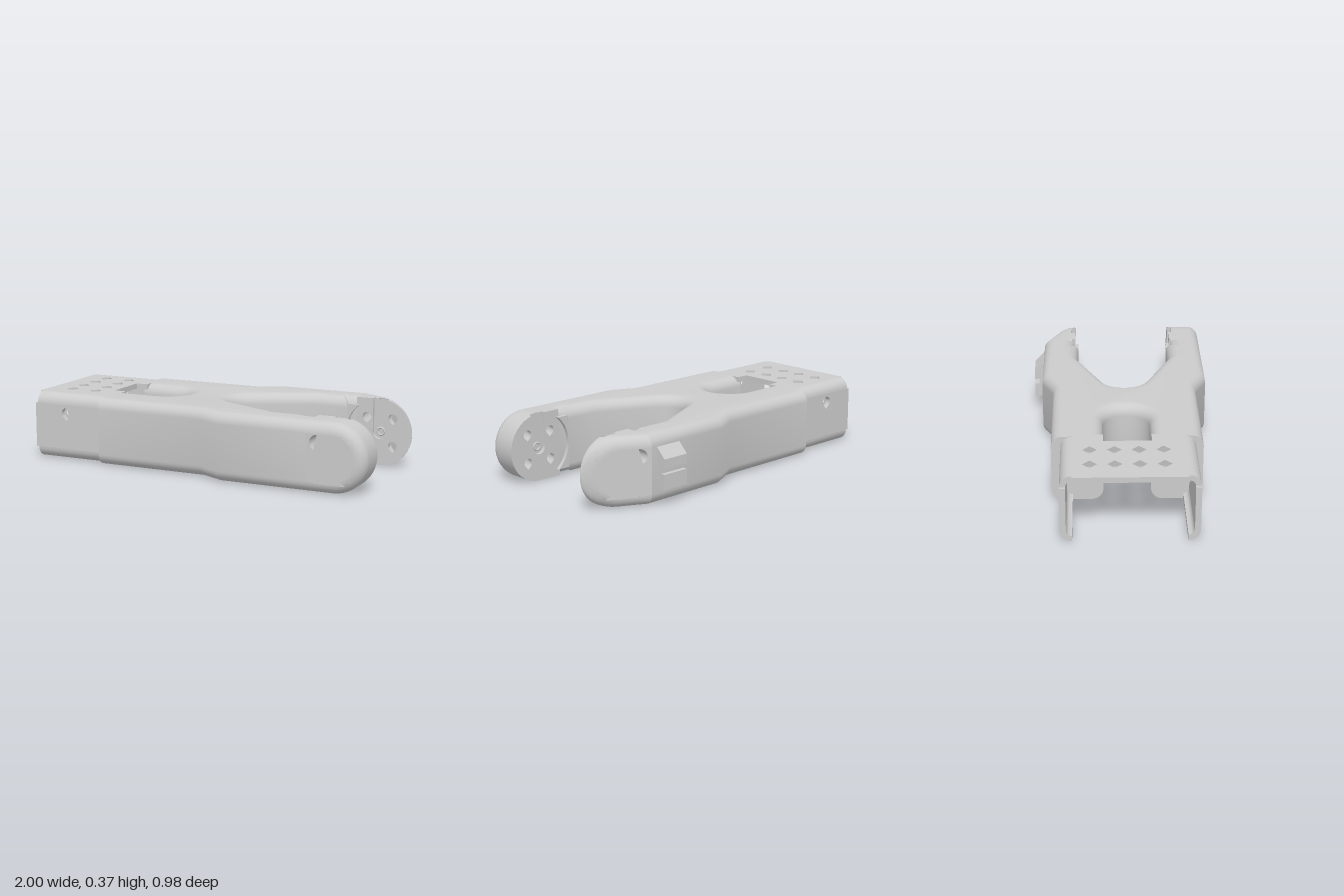
import * as THREE from 'three';
import { toCreasedNormals } from 'three/addons/utils/BufferGeometryUtils.js';

const H = 0.37, R = H / 2, CX = 0.815, CUT = 0.68, ROUND = 0.06;
const mat = new THREE.MeshStandardMaterial({ color: 0xcccccc, side: THREE.DoubleSide });

function add(parent, name, geo) {
  const mesh = new THREE.Mesh(toCreasedNormals(geo, 0.6), mat);
  mesh.name = name;
  parent.add(mesh);
  return mesh;
}
const shapeOf = (pts, holes = []) => {
  const s = new THREE.Shape(pts.map(p => new THREE.Vector2(p[0], p[1])));
  holes.forEach(h => s.holes.push(new THREE.Path(h.map(p => new THREE.Vector2(p[0], p[1])))));
  return s;
};
const extrude = (shape, depth) => new THREE.ExtrudeGeometry(shape, { depth, bevelEnabled: false });
// points are [-z, y]; the section runs along x
const alongX = (pts, x0, x1) => extrude(shapeOf(pts), x1 - x0).rotateY(Math.PI / 2).translate(x0, 0, 0);

function arc(cx, cy, r, a0, a1, n) {
  return Array.from({ length: n + 1 }, (_, i) => {
    const a = a0 + (a1 - a0) * i / n;
    return [cx + r * Math.cos(a), cy + r * Math.sin(a)];
  });
}
const teardrop = (cx, cy, r) => [...arc(cx, cy, r, -Math.PI / 4, Math.PI * 1.25, 20), [cx, cy - r * 1.41]];

// skin between successive open or closed point loops
function loft(loops) {
  const n = loops[0].length, pos = loops.flat(2), idx = [];
  for (let j = 0; j < loops.length - 1; j++) for (let i = 0; i < n - 1; i++) {
    const a = j * n + i, b = a + 1, c = a + n, d = c + 1;
    idx.push(a, b, d, a, d, c);
  }
  const g = new THREE.BufferGeometry();
  g.setAttribute('position', new THREE.Float32BufferAttribute(pos, 3));
  g.setIndex(idx);
  g.computeVertexNormals();
  return g;
}
const at = (pts, z) => pts.map(([x, y]) => [x, y, typeof z === 'function' ? z(x, y) : z]);
const closed = pts => [...pts, pts[0]];

// flat sheet at depth z(x)
function sheet(pts, holes, z) {
  const g = new THREE.ShapeGeometry(shapeOf(pts, holes));
  const p = g.attributes.position;
  for (let i = 0; i < p.count; i++) p.setZ(i, typeof z === 'function' ? z(p.getX(i)) : z);
  g.deleteAttribute('uv');
  return g;
}

// round-ended arm outline, inset by d
function tipOutline(d) {
  const r = R - d;
  const angles = Array.from({ length: 37 }, (_, i) => -90 + i * 5);
  angles.push(77.4, 77.6);
  angles.sort((a, b) => a - b);
  return [[CUT, R - r], ...angles.map(a => [CX + r * Math.cos(a * Math.PI / 180), R + r * Math.sin(a * Math.PI / 180)]),
    [0.776, R + r], [0.774, R + r], [CUT, R + r]];
}

function makeTip(name, zi, zo, pocket) {
  const g = new THREE.Group();
  g.name = name;
  const centres = [[0.74, 0.265], [0.89, 0.265], [0.74, 0.11], [0.89, 0.11]];
  const bores = centres.map(c => teardrop(...c, 0.041));
  const pins = centres.map(c => teardrop(...c, 0.025));
  const slotFloor = zi + 0.02, step = zi + 0.03;

  // rounded rim, open where the key slot leaves the top
  const inSlot = (x, y) => y > R && x > 0.775 && x < 0.8555;
  const loops = [at(tipOutline(0), (x, y) => inSlot(x, y) ? slotFloor : zi)];
  for (let k = 0; k <= 8; k++) {
    const a = k / 8 * Math.PI / 2;
    loops.push(at(tipOutline(ROUND * (1 - Math.cos(a))),
      x => zo(x) - Math.min(ROUND, 0.8 * (zo(x) - zi)) * (1 - Math.sin(a))));
  }
  add(g, 'tipRim', loft(loops));

  // outer face with large bores
  const mid = teardrop(CX, R, 0.026);
  add(g, 'outerFace', sheet(tipOutline(ROUND), pocket ? [...bores, mid] : bores, zo));
  if (pocket) {
    add(g, 'centrePocket', loft([at(closed(mid), zo), at(closed(mid), zo(CX) - 0.06)]));
    add(g, 'pocketFloor', sheet(mid, [], zo(CX) - 0.06));
  }

  // inner face with the key slot and small holes
  const slot = [[0.855, 0.366], ...arc(CX, R, 0.04, 0, -Math.PI, 12), [0.775, H]];
  const face = [...tipOutline(0).filter(([x, y]) => y < R || x > 0.8555), ...slot, [CUT, H]];
  add(g, 'innerFace', sheet(face, pins, zi));
  add(g, 'slotWall', loft([at(slot, zi), at(slot, slotFloor)]));
  add(g, 'slotFloor', sheet(slot, [], slotFloor));
  add(g, 'slotRing', new THREE.TorusGeometry(0.02, 0.006, 8, 24).translate(CX, R, slotFloor));

  // stepped screw holes
  bores.forEach((b, i) => {
    add(g, 'bore', loft([at(closed(b), zo), at(closed(b), step)]));
    add(g, 'boreStep', sheet(b, [pins[i]], step));
    add(g, 'pinHole', loft([at(closed(pins[i]), step), at(closed(pins[i]), zi)]));
  });

  // raised corners around the round recess
  const t = Math.acos(0.145 / R);
  const corner = [[0.63, R], ...arc(CX, R, R, Math.PI, Math.PI / 2 + t, 12), [0.63, 0.33]];
  [corner, corner.map(([x, y]) => [x, H - y])].forEach(c =>
    add(g, 'recessCorner', extrude(shapeOf(c), 0.02).translate(0, 0, zi - 0.02)));
  return g;
}

function makeBody() {
  // plan outline as [x, z]; ends overrun and are squared off after rounding
  const e = CUT + ROUND, b = -0.57 - ROUND, a = 0.424;
  const plan = [
    [b, 0.42], [0.05, 0.42], [0.18, 0.485], [e, 0.485], [e, 0.305], [0.63, 0.305], [0.63, 0.285], [0.44, 0.285],
    ...arc(0.17, 0.025, 0.12, Math.PI / 2 + a, Math.PI * 1.5 - a, 20),
    [0.44, -0.235], [0.63, -0.235], [0.63, -0.255], [e, -0.255], [e, -0.435], [0.18, -0.435], [0.05, -0.37], [b, -0.37],
    [b, -0.1], ...arc(-0.345, 0.025, 0.125, -Math.PI / 2, Math.PI / 2, 20), [b, 0.15]
  ];
  const geo = new THREE.ExtrudeGeometry(shapeOf(plan.map(([x, z]) => [x, -z])), {
    depth: H - 2 * ROUND, bevelThickness: ROUND, bevelSize: ROUND, bevelOffset: -ROUND, bevelSegments: 8
  }).rotateX(-Math.PI / 2).translate(0, ROUND, 0);
  const p = geo.attributes.position;
  for (let i = 0; i < p.count; i++) p.setX(i, THREE.MathUtils.clamp(p.getX(i), -0.57, CUT));
  return geo;
}

function makeBracket() {
  const g = new THREE.Group();
  g.name = 'endBracket';
  const T = 0.03, z0 = -0.32, z1 = 0.38, x0 = -1, x1 = -0.55;
  // top plate with diamond holes
  const diamonds = [];
  for (const x of [-0.865, -0.715]) for (const z of [-0.17, -0.045, 0.08, 0.205])
    diamonds.push([[x - 0.038, -z], [x, -z - 0.038], [x + 0.038, -z], [x, -z + 0.038]]);
  const plate = [[x0, -z0 - ROUND], [x0, -z1 + ROUND], [x1, -z1 + ROUND], [x1, -0.15], [-0.62, -0.15],
    [-0.62, 0.1], [x1, 0.1], [x1, -z0 - ROUND]];
  add(g, 'topPlate', extrude(shapeOf(plate, diamonds), T).rotateX(-Math.PI / 2).translate(0, H - T, 0));

  for (const s of [1, -1]) {
    const zw = s > 0 ? z1 : z0;
    // side wall with a blind teardrop hole
    const wall = [[x0, ROUND], [x1, ROUND], [x1, H - ROUND], [x0, H - ROUND]];
    const hole = teardrop(-0.8, 0.262, 0.03);
    add(g, 'sideWall', extrude(shapeOf(wall, [hole]), T).translate(0, 0, s > 0 ? zw - T : zw));
    add(g, 'holeBoss', new THREE.RingGeometry(0.014, 0.055, 24).translate(-0.8, 0.262, zw - s * T));
    add(g, 'holeBack', new THREE.CircleGeometry(0.016, 20).translate(-0.8, 0.262, zw - s * (T + 0.01)));
    // rounded top corner and bottom lip
    for (const v of [1, -1]) {
      const cy = v > 0 ? H - ROUND : ROUND, u = -(zw - s * ROUND);
      const quarter = [...arc(0, 0, ROUND, 0, Math.PI / 2, 8), ...arc(0, 0, ROUND - T, Math.PI / 2, 0, 8)]
        .map(([p, q]) => [u - s * p, cy + v * q]);
      add(g, v > 0 ? 'topCorner' : 'bottomLip', alongX(quarter, x0 + 0.015, x1));
    }
  }
  return g;
}

export function createModel() {
  const model = new THREE.Group();
  model.name = 'forkedLink';
  add(model, 'body', makeBody());
  model.add(makeBracket());
  model.add(makeTip('frontArmTip', 0.305, () => 0.485, true));
  const back = makeTip('backArmTip', 0.255, x => 0.435 - (x - CUT) * 0.165 / 0.32, false);
  back.scale.z = -1;
  model.add(back);

  // cable clip hooks on the back
  add(model, 'upperClip', alongX([[0.42, 0.32], [0.49, 0.25], [0.49, 0.2], [0.465, 0.2], [0.442, 0.225], [0.42, 0.225]], 0.49, 0.645));
  add(model, 'lowerClip', alongX([[0.42, 0.09], [0.49, 0.09], [0.49, 0.17], [0.465, 0.17], [0.442, 0.145], [0.42, 0.145]], 0.49, 0.645));
  return model;
}
